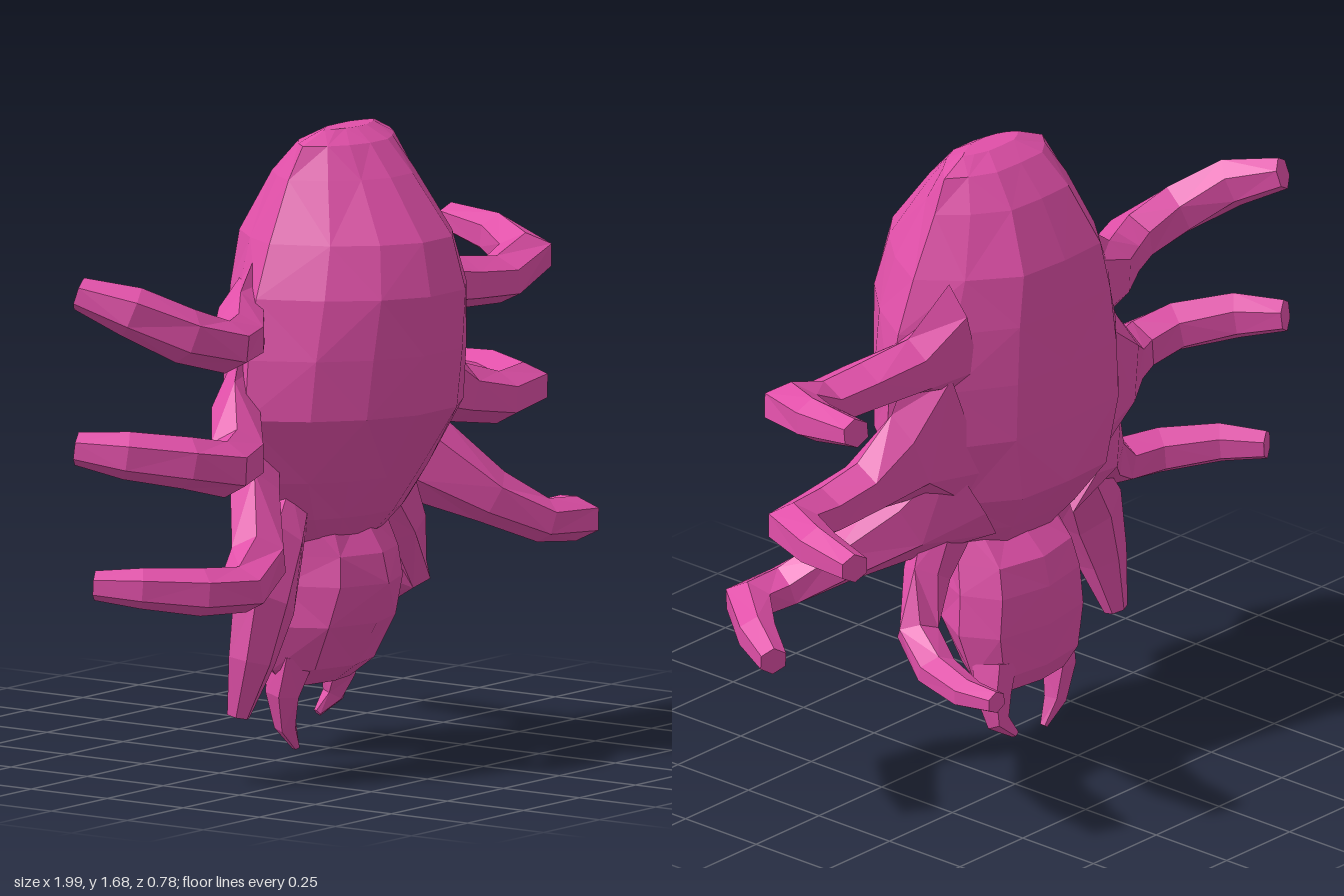
import * as THREE from 'three';

const pink = new THREE.MeshStandardMaterial({ color: 0xe04fa8, flatShading: true });
pink.name = 'pink';

// Skin a list of equal rings (counterclockwise about the travel direction) and cap both ends.
function loft(name, rings) {
  const n = rings[0].length, pos = [];
  const tri = (a, b, c) => pos.push(...a.toArray(), ...b.toArray(), ...c.toArray());
  for (let i = 0; i < rings.length - 1; i++) {
    for (let j = 0; j < n; j++) {
      const k = (j + 1) % n, p = rings[i], q = rings[i + 1];
      // Alternate the diagonals for irregular facets
      if ((i + j) % 2) { tri(p[j], q[k], q[j]); tri(p[j], p[k], q[k]); }
      else { tri(p[j], p[k], q[j]); tri(p[k], q[k], q[j]); }
    }
  }
  const last = rings[rings.length - 1];
  const mid = r => r.reduce((s, p) => s.add(p), new THREE.Vector3()).divideScalar(n);
  const a = mid(rings[0]), b = mid(last);
  for (let j = 0; j < n; j++) {
    const k = (j + 1) % n;
    tri(a, rings[0][k], rings[0][j]);
    tri(b, last[j], last[k]);
  }
  const geo = new THREE.BufferGeometry();
  geo.setAttribute('position', new THREE.Float32BufferAttribute(pos, 3));
  geo.computeVertexNormals();
  const mesh = new THREE.Mesh(geo, pink);
  mesh.name = name;
  return mesh;
}

// Upright hull; rows are [y, halfWidth, zFront, zBack, zWidest], bottom to top.
// The outline holds [x, z] pairs scaled to each row.
function hull(name, outline, rows) {
  return loft(name, rows.map(([y, w, f, b, m]) => outline.map(([x, z]) =>
    new THREE.Vector3(w * x, y, z > 0 ? m + (f - m) * z : m + (m - b) * z))));
}

// Limb; rows are [x, y, z, halfHeight, halfDepth], root to tip.
function limb(name, rows, sides = 6, ref = new THREE.Vector3(0, 1, 0)) {
  const pts = rows.map(r => new THREE.Vector3(r[0], r[1], r[2]));
  const rings = rows.map((r, i) => {
    const t = pts[Math.min(i + 1, pts.length - 1)].clone().sub(pts[Math.max(i - 1, 0)]).normalize();
    const nrm = ref.clone().addScaledVector(t, -ref.dot(t)).normalize();
    const bin = t.clone().cross(nrm);
    return Array.from({ length: sides }, (_, j) => {
      const a = j / sides * Math.PI * 2;
      return pts[i].clone().addScaledVector(nrm, r[3] * Math.cos(a)).addScaledVector(bin, r[4] * Math.sin(a));
    });
  });
  return loft(name, rings);
}

export function createModel() {
  const model = new THREE.Group();
  model.name = 'crawler';

  // Abdomen: keeled front shell, sharp side rims and a narrower back
  model.add(hull('abdomen', [
    [1, 0], [0.74, -0.5], [0.36, -0.95], [-0.1, -1], [-0.55, -0.97], [-0.82, -0.5],
    [-1, 0], [-0.8, 0.48], [-0.54, 0.8], [-0.22, 1], [0.18, 1], [0.46, 0.78], [0.76, 0.43],
  ], [
    [0.58, 0.18, 0.11, -0.06, 0.03],
    [0.65, 0.27, 0.17, -0.11, 0.04],
    [0.76, 0.36, 0.24, -0.18, 0.04],
    [0.94, 0.44, 0.355, -0.185, 0.04],
    [1.10, 0.425, 0.375, -0.185, 0.04],
    [1.26, 0.39, 0.39, -0.18, 0.04],
    [1.40, 0.33, 0.355, -0.175, 0.04],
    [1.56, 0.245, 0.235, -0.10, 0.04],
    [1.645, 0.195, 0.16, -0.03, 0.05],
    [1.68, 0.11, 0.10, 0.03, 0.06],
  ]));

  // Blocky head hanging below, with its mouth sloping back
  model.add(hull('head', [
    [1, -0.1], [0.75, -0.8], [0, -1], [-0.75, -0.8], [-1, -0.1], [-0.68, 0.7], [0, 1], [0.68, 0.7],
  ], [
    [0.18, 0.14, 0.01, -0.12, -0.05],
    [0.23, 0.195, 0.08, -0.14, -0.04],
    [0.35, 0.22, 0.15, -0.15, -0.01],
    [0.46, 0.205, 0.19, -0.15, 0.0],
    [0.54, 0.19, 0.17, -0.13, 0.02],
    [0.65, 0.17, 0.10, -0.01, 0.04],
  ]));

  // Legs on the left side
  model.add(limb('leftLeg1', [
    [0.24, 1.23, -0.05, 0.17, 0.06], [0.40, 1.19, -0.02, 0.085, 0.08], [0.56, 1.175, 0.015, 0.07, 0.085],
    [0.70, 1.165, 0.035, 0.065, 0.08], [0.84, 1.21, 0.02, 0.065, 0.08],
    [0.915, 1.24, -0.13, 0.06, 0.06], [0.95, 1.265, -0.31, 0.04, 0.045],
  ]));
  model.add(limb('leftLeg2', [
    [0.26, 1.00, -0.05, 0.32, 0.06], [0.42, 0.94, -0.02, 0.14, 0.075], [0.55, 0.88, 0.015, 0.08, 0.08],
    [0.69, 0.85, 0.04, 0.07, 0.075], [0.83, 0.86, 0.02, 0.065, 0.075],
    [0.91, 0.87, -0.14, 0.06, 0.06], [0.955, 0.875, -0.31, 0.04, 0.045],
  ]));
  model.add(limb('leftLeg3', [
    [0.24, 0.82, -0.05, 0.20, 0.06], [0.38, 0.73, 0.02, 0.12, 0.07], [0.51, 0.62, 0.15, 0.075, 0.075],
    [0.62, 0.55, 0.24, 0.06, 0.07], [0.74, 0.54, 0.26, 0.06, 0.07],
    [0.85, 0.52, 0.13, 0.055, 0.055], [0.92, 0.50, 0.01, 0.04, 0.04],
  ]));
  model.add(limb('leftLeg4', [
    [0.24, 0.69, 0.00, 0.10, 0.07], [0.32, 0.56, 0.00, 0.075, 0.06], [0.39, 0.42, -0.03, 0.06, 0.06],
    [0.44, 0.36, -0.14, 0.045, 0.06], [0.475, 0.345, -0.28, 0.04, 0.05], [0.475, 0.35, -0.385, 0.03, 0.035],
  ]));

  // Legs on the right side
  model.add(limb('rightLeg1', [
    [-0.24, 1.22, -0.05, 0.16, 0.06], [-0.40, 1.19, 0.00, 0.09, 0.07], [-0.52, 1.175, 0.08, 0.07, 0.075],
    [-0.64, 1.175, 0.13, 0.07, 0.075], [-0.78, 1.22, 0.095, 0.075, 0.07],
    [-0.89, 1.29, 0.00, 0.07, 0.06], [-0.95, 1.335, -0.13, 0.045, 0.045],
  ]));
  model.add(limb('rightLeg2', [
    [-0.26, 0.94, -0.05, 0.30, 0.06], [-0.42, 0.90, 0.00, 0.15, 0.075], [-0.54, 0.86, 0.09, 0.08, 0.08],
    [-0.66, 0.85, 0.14, 0.075, 0.075], [-0.78, 0.88, 0.10, 0.07, 0.07],
    [-0.90, 0.905, -0.01, 0.065, 0.06], [-0.96, 0.92, -0.13, 0.045, 0.045],
  ]));
  model.add(limb('rightLeg3', [
    [-0.24, 0.80, -0.05, 0.22, 0.06], [-0.38, 0.70, 0.03, 0.13, 0.075], [-0.50, 0.585, 0.13, 0.085, 0.08],
    [-0.62, 0.525, 0.165, 0.065, 0.075], [-0.74, 0.53, 0.12, 0.065, 0.065],
    [-0.86, 0.545, 0.01, 0.055, 0.055], [-0.92, 0.55, -0.10, 0.04, 0.04],
  ]));
  model.add(limb('rightLeg4', [
    [-0.22, 0.68, 0.02, 0.06, 0.08], [-0.35, 0.60, 0.08, 0.075, 0.09], [-0.45, 0.46, 0.11, 0.075, 0.105],
    [-0.49, 0.31, 0.10, 0.06, 0.075], [-0.51, 0.16, 0.07, 0.03, 0.035],
  ], 6, new THREE.Vector3(0, 0, 1)));

  // Hooked fangs under the head
  const forward = new THREE.Vector3(0, 0, 1);
  model.add(limb('rightFang', [
    [-0.13, 0.26, -0.03, 0.07, 0.06], [-0.145, 0.16, -0.05, 0.05, 0.045],
    [-0.12, 0.07, -0.06, 0.03, 0.035], [-0.075, 0.005, -0.06, 0.012, 0.01],
  ], 5, forward));
  model.add(limb('leftFang', [
    [0.14, 0.26, -0.07, 0.07, 0.06], [0.16, 0.18, -0.09, 0.05, 0.05],
    [0.16, 0.11, -0.11, 0.03, 0.035], [0.115, 0.065, -0.13, 0.012, 0.012],
  ], 5, forward));

  return model;
}
